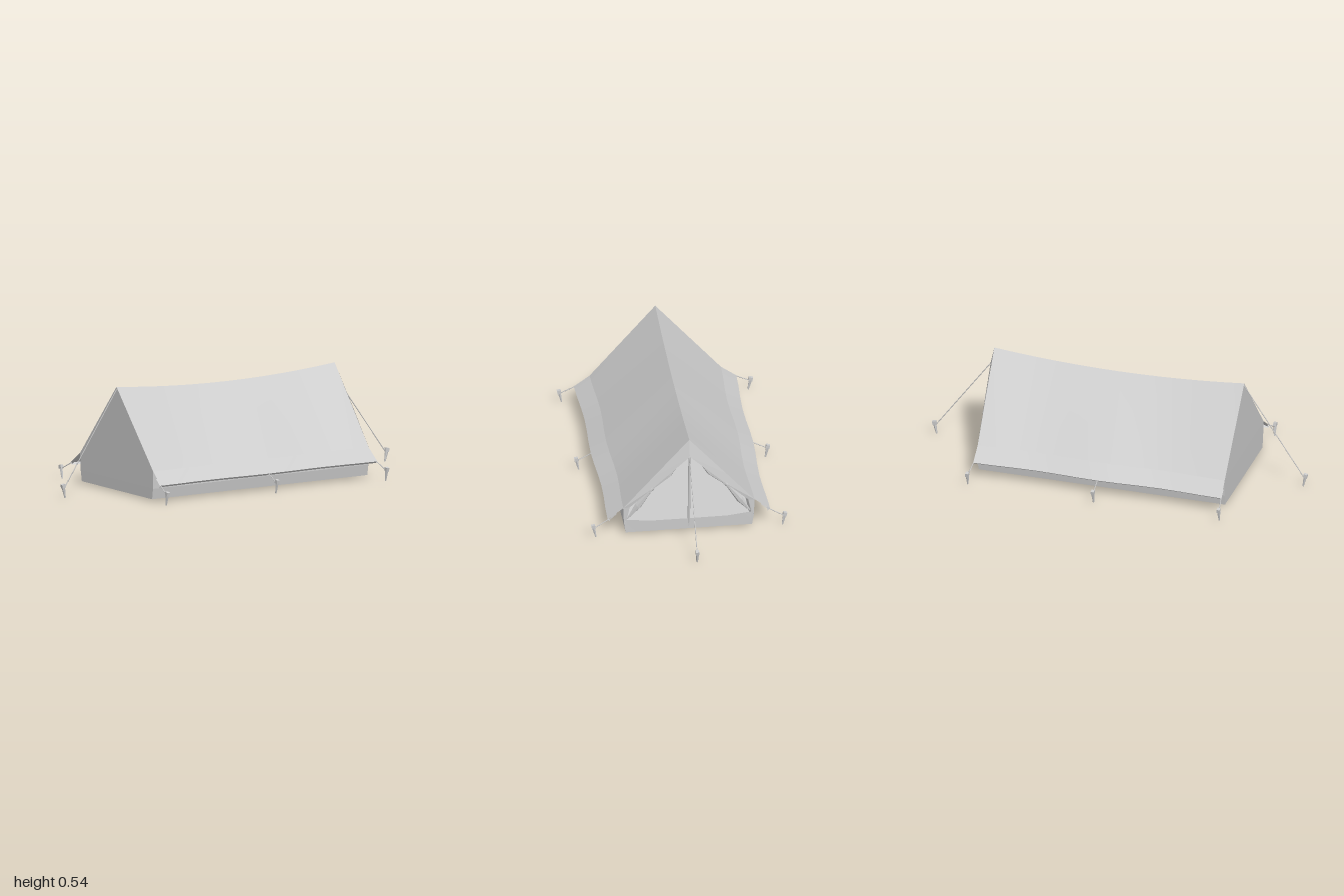
import * as THREE from 'three';

const grey = new THREE.MeshStandardMaterial({ color: 0xcccccc });
const cloth = new THREE.MeshStandardMaterial({ color: 0xcccccc, side: THREE.DoubleSide });
const flat = new THREE.MeshStandardMaterial({ color: 0xcccccc, side: THREE.DoubleSide, flatShading: true });

function named(geometry, material, name) {
  const m = new THREE.Mesh(geometry, material);
  m.name = name;
  return m;
}

// Surface through rows of [x, y, z] points
function sheet(name, rows, material = cloth) {
  const n = rows[0].length, index = [];
  for (let r = 0; r < rows.length - 1; r++)
    for (let c = 0; c < n - 1; c++) {
      const a = r * n + c, b = a + 1, d = a + n, e = d + 1;
      index.push(a, d, b, b, d, e);
    }
  const g = new THREE.BufferGeometry();
  g.setAttribute('position', new THREE.Float32BufferAttribute(rows.flat(2), 3));
  g.setIndex(index);
  g.computeVertexNormals();
  return named(g, material, name);
}

// Straight rod between two points
function rod(name, a, b, radius, sides) {
  const p = new THREE.Vector3(...a), q = new THREE.Vector3(...b);
  const m = named(new THREE.CylinderGeometry(radius, radius, p.distanceTo(q), sides), grey, name);
  m.position.copy(p).add(q).multiplyScalar(0.5);
  m.quaternion.setFromUnitVectors(new THREE.Vector3(0, 1, 0), q.sub(p).normalize());
  return m;
}

// Tapered peg with a square head, leaning along the given outward angle
function peg(x, z, angle) {
  const g = new THREE.Group();
  g.name = 'peg';
  const lean = new THREE.Group();
  const spike = named(new THREE.CylinderGeometry(0.009, 0.004, 0.056, 6), flat, 'pegSpike');
  spike.position.y = 0.028;
  const head = named(new THREE.BoxGeometry(0.02, 0.02, 0.016), grey, 'pegHead');
  head.position.y = 0.062;
  lean.add(spike, head);
  lean.rotation.z = -0.2;
  g.add(lean);
  g.position.set(x, 0.002, z);
  g.rotation.y = angle;
  return g;
}

export function createModel() {
  const tent = new THREE.Group();
  tent.name = 'tent';

  // Lengthwise line of the cloth; t runs from -1 (closed end) to 1 (open end)
  const N = 12;
  const line = (x0, x1, f) => Array.from({ length: N + 1 }, (_, i) => {
    const t = -1 + 2 * i / N;
    return [x0 + (x1 - x0) * i / N, ...f(t)];
  });
  const scallop = t => 0.012 * Math.sin(Math.PI * Math.abs(t)) ** 2;
  const ridge = line(-0.663, 0.67, t => [0.545 - 0.034 * (1 - t * t), 0]);

  for (const s of [1, -1]) {
    const shoulder = line(-0.662, 0.655, t => [0.155, s * (0.338 - scallop(t))]);
    const eave = line(-0.668, 0.655, t => [0.094, s * (0.418 - scallop(t))]);
    const hem = line(-0.667, 0.655, t => [0.084, s * (0.405 - scallop(t))]);
    const tubTop = line(-0.661, 0.655, () => [0.065, s * 0.334]);
    const tubBase = line(-0.66, 0.655, () => [0.01, s * 0.325]);
    tent.add(
      sheet('roofSlope', [ridge, shoulder]),
      sheet('eave', [shoulder, eave]),
      sheet('eaveHem', [eave, hem]),
      sheet('sideWall', [shoulder, tubTop]),
      sheet('tubWall', [tubTop, tubBase]));

    // Gable band framing the doorway
    tent.add(sheet('gableBand', [
      [[0.67, 0.545, 0], [0.663, 0.327, s * 0.19], [0.655, 0.155, s * 0.338], [0.655, 0.065, s * 0.334]],
      [[0.69, 0.455, 0], [0.673, 0.27, s * 0.19], [0.657, 0.158, s * 0.305], [0.655, 0.085, s * 0.32]],
    ], flat));

    // Door flap rolled back and gathered at its tie: [z, y, x, radius]
    const path = [[0.055, 0.408, 0.676, 0.002], [0.105, 0.343, 0.666, 0.014], [0.19, 0.267, 0.664, 0.007],
      [0.262, 0.162, 0.65, 0.018], [0.316, 0.088, 0.65, 0.003]];
    const rings = path.map(([z, y, x, r]) => Array.from({ length: 7 }, (_, k) => {
      const a = k / 6 * Math.PI * 2, c = r * Math.cos(a);
      return [x + r * Math.sin(a), y + c * 0.66, s * (z + c * 0.75)];
    }));
    tent.add(sheet('rolledFlap', rings, flat));
    const tie = named(new THREE.CylinderGeometry(0.011, 0.011, 0.014, 8), grey, 'flapTie');
    tie.position.set(0.664, 0.266, s * 0.19);
    tie.rotation.x = s * (Math.PI - 0.82);
    tent.add(tie);

    // Side guy lines, reinforcing tabs and pegs
    for (const [xe, xp] of [[-0.667, -0.677], [-0.006, -0.006], [0.654, 0.664]]) {
      const w = xe > 0.5 ? [-0.03, 0] : xe < -0.5 ? [0, 0.03] : [-0.015, 0.015];
      tent.add(
        sheet('eaveTab', [
          [[xe + w[0], 0.122, s * 0.372], [xe + w[1], 0.122, s * 0.372]],
          [[xe, 0.086, s * 0.414], [xe + 0.004, 0.086, s * 0.414]]]),
        rod('sideGuyLine', [xe, 0.092, s * 0.416], [xp, 0.054, s * 0.488], 0.0025, 5),
        peg(xp, s * 0.48, -s * Math.PI / 2));
    }
  }

  // Groundsheet, closed end wall and door sill
  tent.add(sheet('groundsheet', [
    [[-0.66, 0.01, -0.325], [-0.66, 0.01, 0.325]],
    [[0.655, 0.01, -0.325], [0.655, 0.01, 0.325]]]));
  tent.add(sheet('endWall', [
    [[-0.663, 0.545, 0], [-0.663, 0.545, 0]],
    [[-0.662, 0.155, 0.338], [-0.662, 0.155, -0.338]],
    [[-0.661, 0.065, 0.334], [-0.661, 0.065, -0.334]],
    [[-0.66, 0.01, 0.325], [-0.66, 0.01, -0.325]]], flat));
  const sill = [[-0.334, 0.065], [-0.32, 0.085], [-0.2, 0.071], [0, 0.07], [0.2, 0.071], [0.32, 0.085], [0.334, 0.065]];
  tent.add(sheet('doorSill', [
    sill.map(([z, y]) => [0.656, y, z]),
    sill.map(([z]) => [0.655, 0.01, THREE.MathUtils.clamp(z, -0.325, 0.325)])]));

  // Door pole
  tent.add(rod('doorPole', [0.648, 0.01, 0], [0.683, 0.458, 0], 0.0065, 8));

  // End guy lines and pegs
  tent.add(
    rod('endGuyLine', [0.688, 0.455, 0], [0.98, 0.054, 0], 0.0025, 5), peg(0.977, 0, 0),
    rod('endGuyLine', [-0.662, 0.532, 0], [-0.98, 0.054, 0], 0.0025, 5), peg(-0.977, 0, Math.PI));

  return tent;
}
